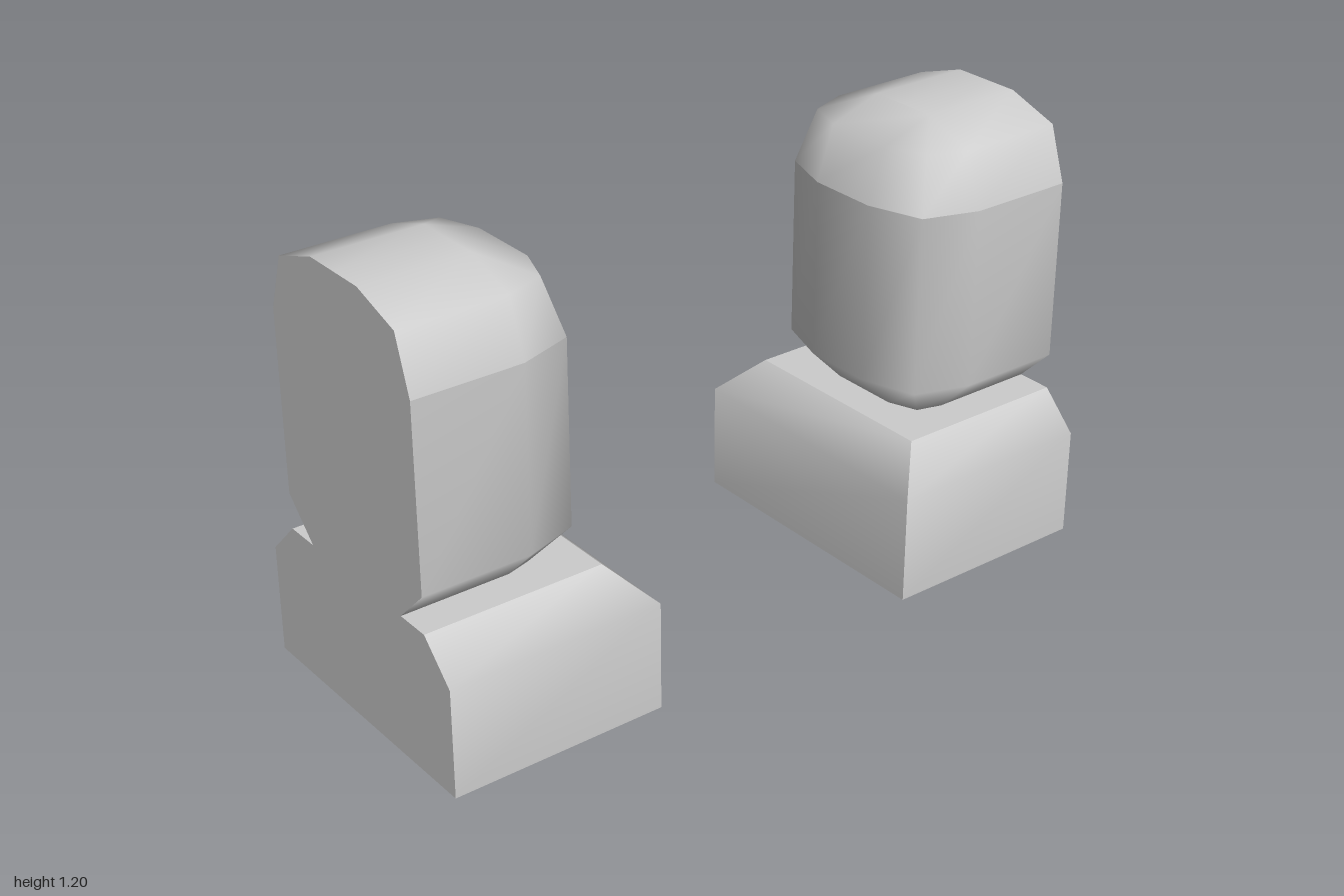
import * as THREE from 'three';
import { mergeVertices } from 'three/addons/utils/BufferGeometryUtils.js';

const material = new THREE.MeshStandardMaterial({ color: 0xcccccc });

function add(group, geometry, name) {
  const mesh = new THREE.Mesh(geometry, material);
  mesh.name = name;
  group.add(mesh);
  return mesh;
}

// Smooth surface through rows of points, each row running counterclockwise from above
function loft(rows) {
  const n = rows[0].length, index = [];
  for (let r = 0; r < rows.length - 1; r++) {
    for (let i = 0; i < n - 1; i++) {
      const a = r * n + i, b = a + 1, c = b + n, d = a + n;
      index.push(a, b, c, a, c, d);
    }
  }
  let geometry = new THREE.BufferGeometry();
  geometry.setAttribute('position', new THREE.Float32BufferAttribute(rows.flat(2), 3));
  geometry.setIndex(index);
  geometry = mergeVertices(geometry);
  geometry.computeVertexNormals();
  return geometry;
}

// Half of a head section [x, z], mirrored into an open ring at height y
function ring(y, half) {
  const right = half.map(([x, z]) => [x, y, z]);
  const left = half.map(([x, z]) => [-x, y, z]).reverse();
  return [...right, ...left];
}

function createBlock(name) {
  const block = new THREE.Group();
  block.name = name;

  // Base walls with their bevels, hard at the vertical corners
  const low = [[0.4, 1], [0.4, 0.4], [-0.4, 0.4], [-0.4, 1]];
  const high = [[0.3, 1], [0.3, 0.5], [-0.3, 0.5], [-0.3, 1]];
  ['baseLeftSide', 'baseInnerSide', 'baseRightSide'].forEach((side, i) => {
    const row = (points, y) => [points[i], points[i + 1]].map(([x, z]) => [x, y, z]);
    add(block, loft([row(low, 0), row(low, 0.3), row(high, 0.4)]), side);
  });
  const top = new THREE.PlaneGeometry(0.6, 0.5).rotateX(-Math.PI / 2);
  add(block, top, 'baseTop').position.set(0, 0.4, 0.75);
  const bottom = new THREE.PlaneGeometry(0.8, 0.6).rotateX(Math.PI / 2);
  add(block, bottom, 'baseBottom').position.set(0, 0, 0.7);

  // Rounded head, with a crease where the crown begins
  const full = [[0.3, 1], [0.3, 0.7], [0.25, 0.55], [0.1, 0.5]];
  const foot = [[0.2, 1], [0.2, 0.7], [0.18, 0.63], [0.1, 0.6]];
  const shoulder = [[0.25, 1], [0.25, 0.7], [0.21, 0.59], [0.1, 0.55]];
  const crest = [[0.1, 1], [0.1, 0.7], [0.1, 0.7], [0.1, 0.7]];
  const ridge = crest.map(([, z]) => [0, z]);
  add(block, loft([ring(0.4, foot), ring(0.5, full), ring(1, full)]), 'headBody');
  add(block, loft([ring(1, full), ring(1.15, shoulder), ring(1.2, crest), ring(1.2, ridge)]), 'headCrown');

  // Flat outer face shared by base and head
  const half = [[0.4, 0], [0.4, 0.3], [0.3, 0.4], [0.2, 0.4], [0.3, 0.5], [0.3, 1], [0.25, 1.15], [0.1, 1.2]];
  const outline = [...half, ...half.map(([x, y]) => [-x, y]).reverse()];
  const face = new THREE.Shape(outline.map(([x, y]) => new THREE.Vector2(x, y)));
  add(block, new THREE.ShapeGeometry(face), 'outerFace').position.z = 1;
  return block;
}

export function createModel() {
  const model = new THREE.Group();
  model.name = 'blockPair';
  const front = createBlock('frontBlock');
  const back = createBlock('backBlock');
  back.rotation.y = Math.PI;
  model.add(front, back);
  return model;
}
